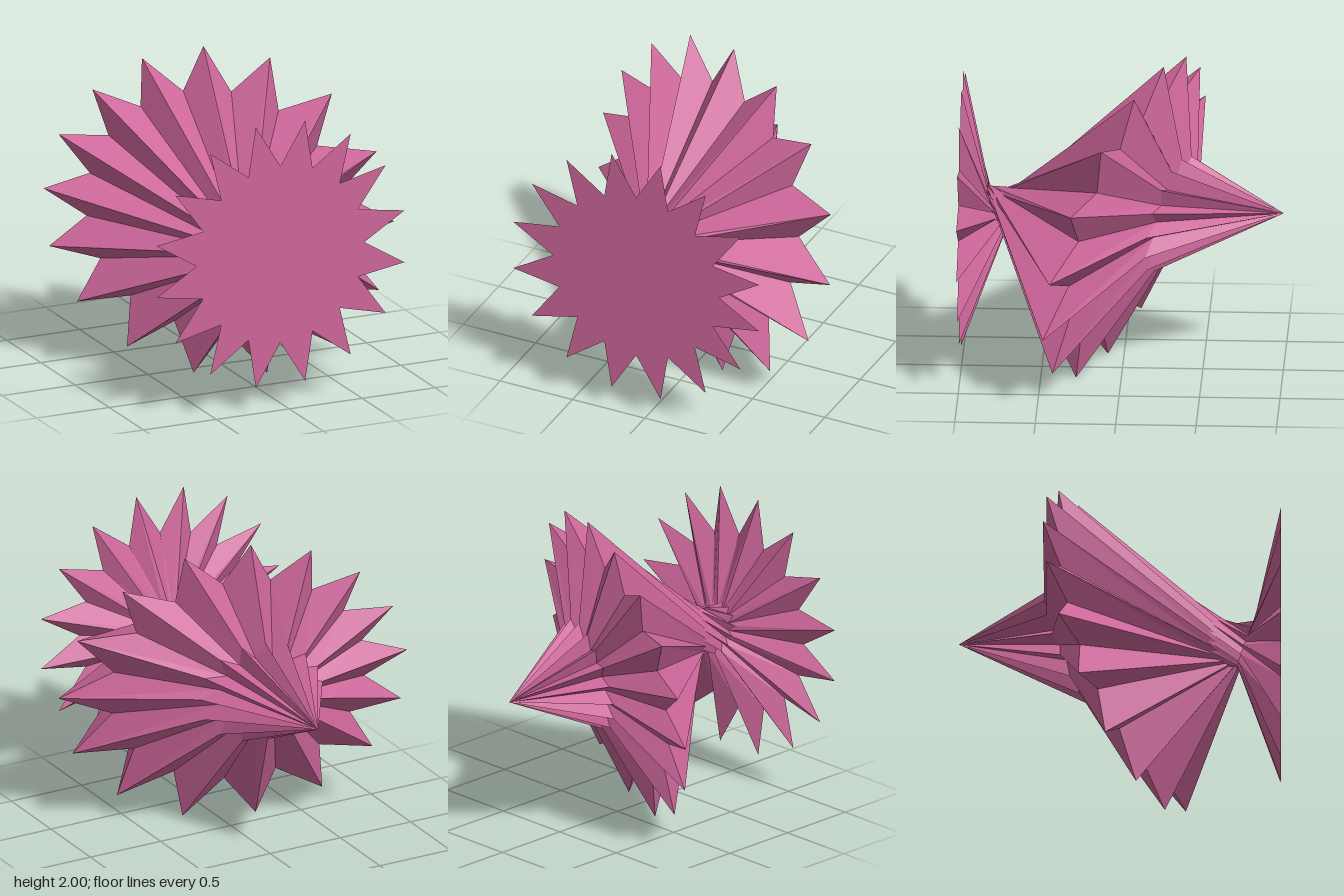
import * as THREE from 'three';

const POINTS = 16;
const N = POINTS * 2;
const rad = THREE.MathUtils.degToRad;
const CX = -0.06, CY = 1.01;
const LEAN = rad(-29); // direction in which the rings lean forward

// Star rings from back to front:
// outer radius, valley ratio, z, lean in z, turn in degrees
const rings = [
  { r: 0.36, valley: 0.7, z: -0.31, lean: 0.16, turn: 0 },
  { r: 1.005, valley: 0.73, z: -0.05, lean: 0.47, turn: 0 },
  { r: 0.155, valley: 0.7, z: 0.79, lean: 0.06, turn: 119 },
  { r: 0.867, valley: 0.663, z: 1, lean: 0, turn: 130.45 },
];

// One corner of a ring: even corners are tips, odd corners valleys
function corner(ring, i) {
  const k = i % 2 ? ring.valley : 1;
  const a = rad(83.3) + (i / N) * Math.PI * 2;
  const t = rad(ring.turn);
  const bend = ring.lean ? 0.058 * ring.r * k * k : 0;
  const b = 2 * a - LEAN + t;
  return [
    CX + ring.r * k * Math.cos(a + t) + bend * Math.cos(b),
    CY + ring.r * k * Math.sin(a + t) + bend * Math.sin(b),
    ring.z + ring.lean * k * Math.cos(a - LEAN)
      + (ring.lean > 0.3 ? 0.04 * k * k * Math.cos(2 * (a - LEAN)) : 0),
  ];
}

function meshOf(name, positions, material) {
  const g = new THREE.BufferGeometry();
  g.setAttribute('position', new THREE.Float32BufferAttribute(positions, 3));
  g.computeVertexNormals();
  const m = new THREE.Mesh(g, material);
  m.name = name;
  return m;
}

// Pleated wall between two rings
function band(back, front) {
  const p = [];
  for (let i = 0; i < N; i++) {
    const a = corner(back, i), b = corner(back, i + 1);
    const c = corner(front, i + 1), d = corner(front, i);
    p.push(...a, ...b, ...d, ...b, ...c, ...d);
  }
  return p;
}

// Triangles from a ring to one point, facing back or forward
function fan(ring, z, forward) {
  const p = [];
  for (let i = 0; i < N; i++) {
    const a = corner(ring, i), b = corner(ring, i + 1);
    p.push(...(forward ? [...a, ...b] : [...b, ...a]), CX, CY, z);
  }
  return p;
}

export function createModel() {
  const group = new THREE.Group();
  group.name = 'twistedStar';
  const material = new THREE.MeshStandardMaterial({
    color: 0xcc6699, flatShading: true, side: THREE.DoubleSide,
  });
  const [small, wide, neck, face] = rings;
  group.add(
    meshOf('backSpike', fan(small, -1, false), material),
    meshOf('backShoulder', band(small, wide), material),
    meshOf('twistedBody', band(wide, neck), material),
    meshOf('frontFlare', band(neck, face), material),
    meshOf('starFace', fan(face, 1, true), material),
  );
  return group;
}
